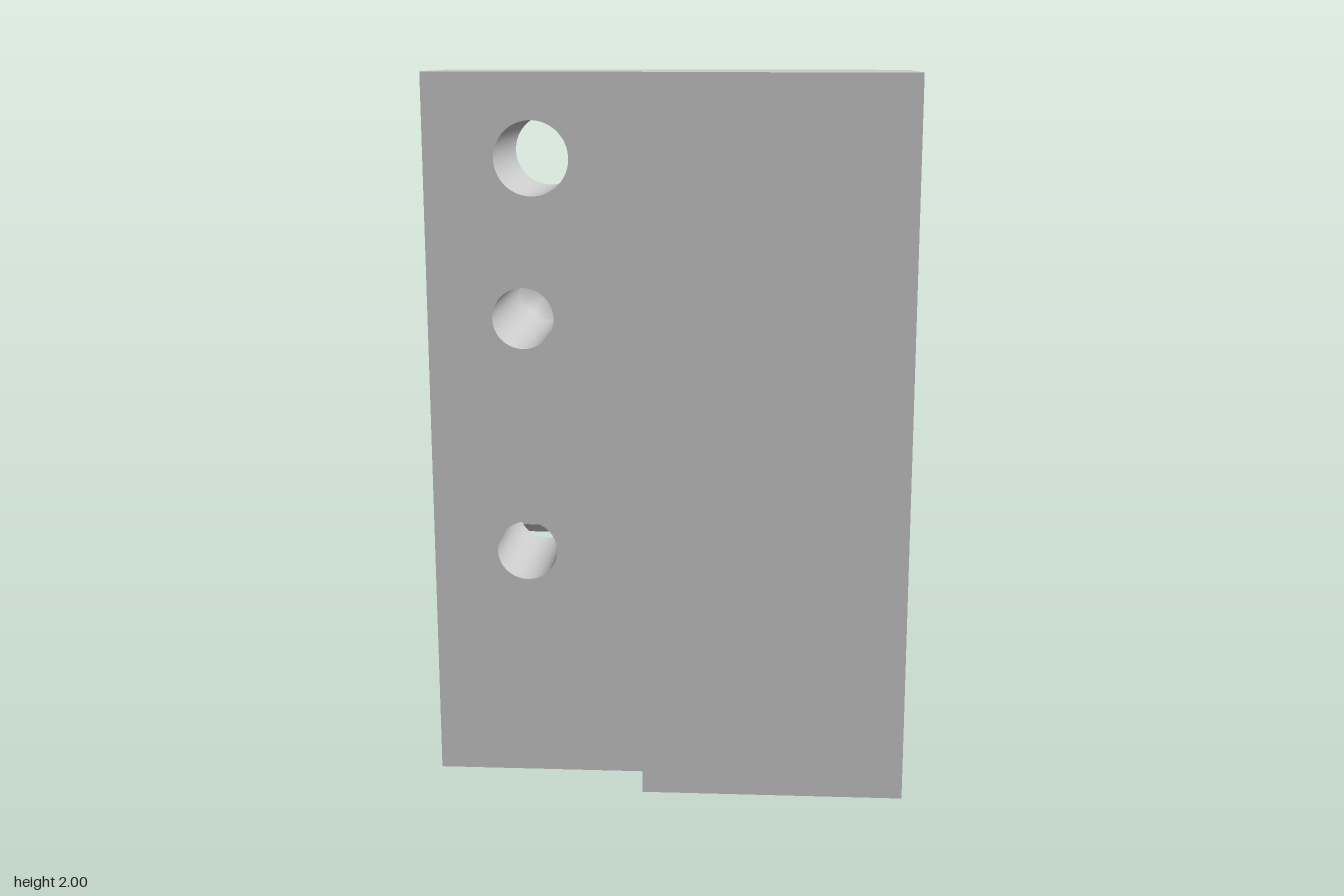
import * as THREE from 'three';

const V = (x, y, z) => new THREE.Vector3(x, y, z);
const X = V(1, 0, 0), NX = V(-1, 0, 0), Y = V(0, 1, 0), Z = V(0, 0, 1), NZ = V(0, 0, -1);
const SEG = 64;

// main dimensions
const W = 0.665, STEP = -0.065;                 // half width, x of the front step
const FRONT = 0.583, LOW = 0.45, BACK = 0.05;   // z of the plate faces
const NECK = 0.3675, HEAD = 0.5, BEV = 0.034;   // half heights about y = 1
const HEAD_IN = -0.25, HEAD_OUT = -0.583;
const R = 0.085, CONE = 0.051, SHOULDER = -0.053; // blind drillings
const HOLE_X = -0.4, HOLE_DY = 0.333, CLIP = NECK - HOLE_DY;
const CHORD = Math.sqrt(R * R - CLIP * CLIP);
const THROUGH = { x: -0.37, y: 1.77, r: 0.102 };
const SIDE = { z: 0.318, dy: 0.767, depth: 0.5 };

const solid = new THREE.MeshStandardMaterial({ color: 0xcccccc });
const inner = new THREE.MeshStandardMaterial({ color: 0xcccccc, side: THREE.DoubleSide });

function mesh(name, geometry, material = solid) {
  const m = new THREE.Mesh(geometry, material);
  m.name = name;
  return m;
}

// flat face from 2D points and round holes [x, y, r], laid on axes u and v
function panel(points, holes, origin, u, v) {
  const shape = new THREE.Shape(points.map(p => new THREE.Vector2(...p)));
  for (const [x, y, r] of holes) shape.holes.push(new THREE.Path().absarc(x, y, r, 0, Math.PI * 2, true));
  const basis = new THREE.Matrix4().makeBasis(u, v, u.clone().cross(v)).setPosition(origin);
  return new THREE.ShapeGeometry(shape, SEG / 2).applyMatrix4(basis);
}
const rect = (a, b, c, d) => [[a, c], [b, c], [b, d], [a, d]];

// reflects a geometry about the mid height y = 1, keeping faces outward
function mirrored(geometry) {
  const g = geometry.clone().applyMatrix4(new THREE.Matrix4().makeScale(1, -1, 1)).translate(0, 2, 0);
  const idx = g.index.array;
  for (let i = 0; i < idx.length; i += 3) [idx[i], idx[i + 1]] = [idx[i + 1], idx[i]];
  return g;
}

// open tube along z from z0 to z1; arc is the half angle kept about -y
function tube(r, z0, z1, arc = Math.PI) {
  return new THREE.CylinderGeometry(r, r, z1 - z0, SEG, 1, true, -arc, 2 * arc)
    .rotateX(Math.PI / 2).translate(0, 0, (z0 + z1) / 2);
}

// conical drill tip opening toward +z, cut off above y = clip
function drillTip(z, clip = Infinity) {
  const g = new THREE.CircleGeometry(R, 128);
  const p = g.attributes.position;
  for (let i = 0; i < p.count; i++) {
    const k = p.getY(i) > clip ? clip / p.getY(i) : 1;
    const x = p.getX(i) * k, y = p.getY(i) * k;
    p.setXYZ(i, x, y, z - CONE + CONE * Math.hypot(x, y) / R);
  }
  g.computeVertexNormals();
  return g;
}

// plate back above the neck, with the segment left by the blind drilling
function backFace(holes) {
  const pts = [[-W, 1 + NECK]];
  const a = Math.asin(CLIP / R), n = 24;
  for (let i = 0; i <= n; i++) {
    const t = Math.PI - a - (Math.PI - 2 * a) * i / n;
    pts.push([-HOLE_X + R * Math.cos(t), 1 + HOLE_DY + R * Math.sin(t)]);
  }
  pts.push([W, 1 + NECK], [W, 2], [-W, 2]);
  return panel(pts, holes, V(0, 0, BACK), NX, Y);
}

// upper neck face with the notch where the drilling breaks through
function neckFace() {
  const pts = [[-W, -BACK], [HOLE_X - CHORD, -BACK]];
  const n = 24;
  for (let i = 0; i <= n; i++) {
    const t = CHORD * (2 * i / n - 1);
    const z = SHOULDER - CONE + CONE * Math.hypot(t, CLIP) / R;
    pts.push([HOLE_X + t, -z]);
  }
  pts.push([HOLE_X + CHORD, -BACK], [W, -BACK], [W, -HEAD_IN], [-W, -HEAD_IN]);
  return panel(pts, [], V(0, 1 + NECK, 0), X, NZ);
}

// side outline as (z, y)
function sideOutline(front) {
  const upper = [[front, HEAD * 2], [BACK, 1], [BACK, NECK], [HEAD_IN, NECK], [HEAD_IN, HEAD - BEV],
    [HEAD_IN - BEV, HEAD], [HEAD_OUT + BEV, HEAD], [HEAD_OUT, HEAD - BEV]];
  const lower = upper.map(([z, y]) => [z, -y]).reverse();
  return [...upper, ...lower].map(([z, y]) => [z, 1 + y]);
}

export function createModel() {
  const model = new THREE.Group();
  model.name = 'slideBlock';
  const group = name => {
    const g = new THREE.Group();
    g.name = name;
    model.add(g);
    return g;
  };

  // stepped plate
  const plate = group('plate');
  const hole = [THROUGH.x, THROUGH.y, THROUGH.r];
  const frontHoles = [hole, [HOLE_X, 1 + HOLE_DY, R], [HOLE_X, 1 - HOLE_DY, R]];
  plate.add(mesh('recessedFront', panel(rect(-W, STEP, 0, 2), frontHoles, V(0, 0, LOW), X, Y)));
  plate.add(mesh('raisedFront', panel(rect(STEP, W, 0, 2), [], V(0, 0, FRONT), X, Y)));
  plate.add(mesh('stepWall', panel(rect(LOW, FRONT, 0, 2), [], V(STEP, 0, 0), Z, Y)));
  const top = panel([[-W, -BACK], [-W, -LOW], [STEP, -LOW], [STEP, -FRONT], [W, -FRONT], [W, -BACK]],
    [], V(0, 2, 0), X, NZ);
  plate.add(mesh('plateTop', top), mesh('plateBottom', mirrored(top)));
  plate.add(mesh('upperBack', backFace([[-THROUGH.x, THROUGH.y, THROUGH.r]])));
  plate.add(mesh('lowerBack', mirrored(backFace([]))));

  // side faces spanning plate, neck and head
  const sides = group('sides');
  const sideHoles = [1, -1].map(s => [-SIDE.z, 1 + s * SIDE.dy, R]);
  const flipped = sideOutline(FRONT).map(([z, y]) => [-z, y]);
  sides.add(mesh('leftSide', panel(flipped, sideHoles, V(W, 0, 0), NZ, Y)));
  sides.add(mesh('rightSide', panel(sideOutline(LOW), [], V(-W, 0, 0), Z, Y)));

  // neck and bevelled head of the T rail
  const rail = group('rail');
  rail.add(mesh('neckTop', neckFace()), mesh('neckBottom', mirrored(neckFace())));
  const outline = sideOutline(LOW).slice(3, 13);
  for (let i = 0; i < outline.length - 1; i++) {
    const [z0, y0] = outline[i], [z1, y1] = outline[i + 1];
    const v = V(0, y1 - y0, z1 - z0), len = v.length();
    rail.add(mesh('headFace', panel(rect(-W, W, 0, len), [], V(0, y0, z0), X, v.normalize())));
  }

  // through hole
  const holes = group('holes');
  holes.add(mesh('throughHole', tube(THROUGH.r, BACK, LOW).translate(THROUGH.x, THROUGH.y, 0), inner));

  // blind drillings in the front, breaking out beside the neck
  const parts = [tube(R, BACK, LOW), tube(R, SHOULDER, BACK, Math.acos(-CLIP / R)), drillTip(SHOULDER, CLIP)];
  for (const g of parts) {
    g.translate(HOLE_X, 1 + HOLE_DY, 0);
    holes.add(mesh('upperFrontHole', g, inner), mesh('lowerFrontHole', mirrored(g), inner));
  }

  // blind drillings in the left side
  for (const g of [tube(R, W - SIDE.depth, W), drillTip(W - SIDE.depth)]) {
    g.rotateY(Math.PI / 2).translate(0, 1 + SIDE.dy, SIDE.z);
    holes.add(mesh('upperSideHole', g, inner), mesh('lowerSideHole', mirrored(g), inner));
  }
  return model;
}
